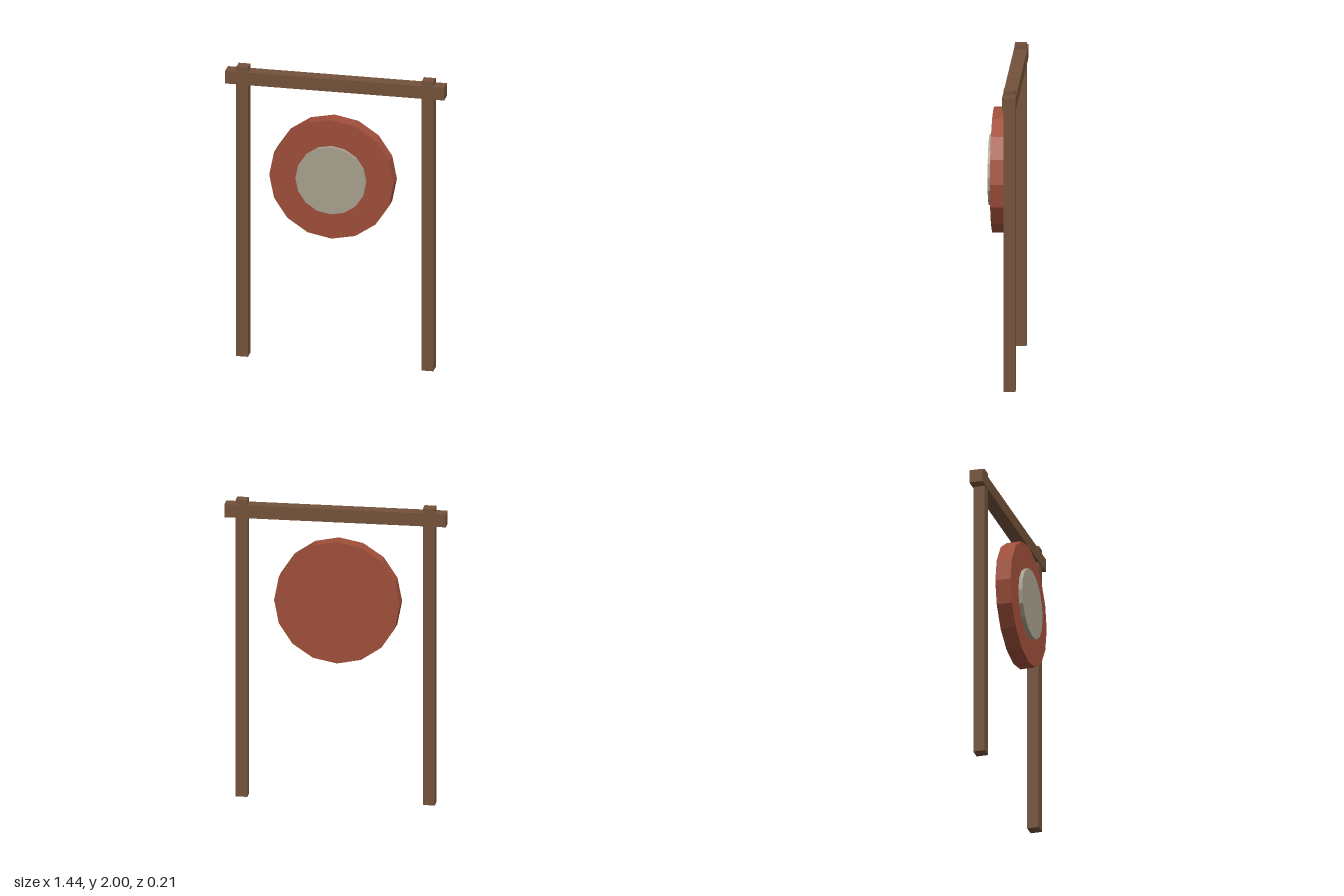
import * as THREE from 'three';

export function createModel() {
  const model = new THREE.Group();
  const material = (color) => new THREE.MeshStandardMaterial({ color, flatShading: true });
  const wood = material(0x74523a);
  const red = material(0xa04f3a);
  const pale = material(0xa9a28f);

  const add = (name, geometry, mat, x, y, z) => {
    const mesh = new THREE.Mesh(geometry, mat);
    mesh.name = name;
    mesh.position.set(x, y, z);
    model.add(mesh);
  };

  // 16-sided disc facing +z, with a corner at the top
  const disc = (name, radius, back, front, mat) => {
    const geometry = new THREE.CylinderGeometry(radius, radius, front - back, 16);
    geometry.rotateX(Math.PI / 2);
    add(name, geometry, mat, 0, 1.314, (back + front) / 2);
  };

  // Wooden frame: two posts poking through a crossbeam
  for (const [name, side] of [['leftPost', 1], ['rightPost', -1]]) {
    add(name, new THREE.BoxGeometry(0.077, 2, 0.077), wood, side * 0.611, 1, -0.0615);
  }
  add('crossbeam', new THREE.BoxGeometry(1.444, 0.087, 0.087), wood, 0, 1.925, -0.0615);

  // Gong with a raised central plate
  disc('gong', 0.41, -0.023, 0.079, red);
  disc('gongCentre', 0.232, 0.04, 0.105, pale);

  return model;
}
